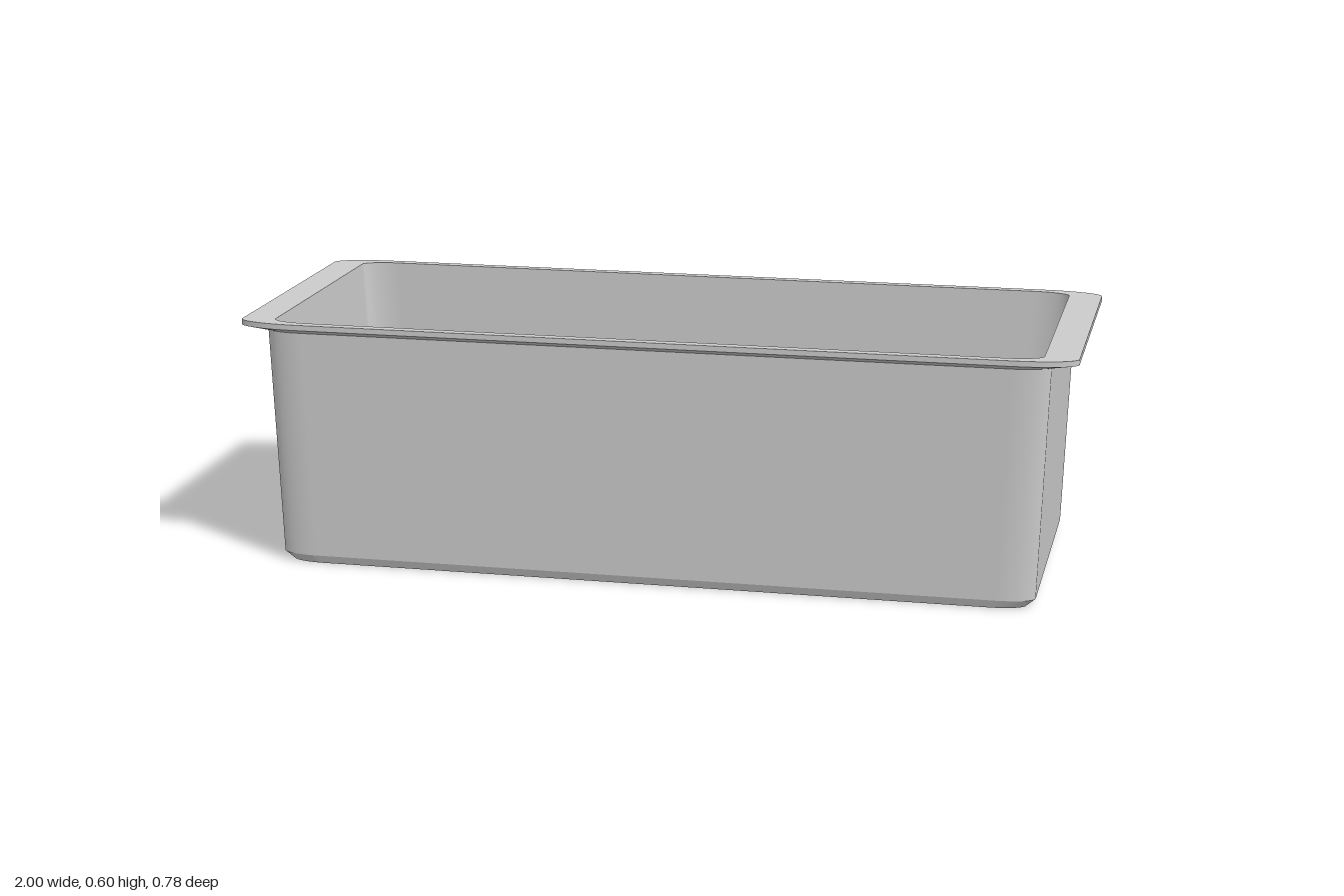
import * as THREE from 'three';

const CORNER_STEPS = 8;

// Rounded rectangle at height y: half sizes hx, hz with elliptical corners rx, rz
function ring([y, hx, hz, rx, rz]) {
  const pts = [];
  for (let q = 0; q < 4; q++) {
    const sx = q === 0 || q === 3 ? 1 : -1;
    const sz = q < 2 ? 1 : -1;
    for (let i = 0; i <= CORNER_STEPS; i++) {
      const a = (q + i / CORNER_STEPS) * Math.PI / 2;
      pts.push(sx * (hx - rx) + rx * Math.cos(a), y, sz * (hz - rz) + rz * Math.sin(a));
    }
  }
  return pts;
}

// Band of faces between two rings, smooth around the corners
function band(from, to) {
  const a = ring(from), b = ring(to), n = a.length / 3, index = [];
  for (let i = 0; i < n; i++) {
    const j = (i + 1) % n;
    index.push(i, n + i, j, j, n + i, n + j);
  }
  const g = new THREE.BufferGeometry();
  g.setAttribute('position', new THREE.Float32BufferAttribute([...a, ...b], 3));
  g.setIndex(index);
  g.computeVertexNormals();
  return g;
}

// Flat plate filling a ring, facing up or down
function plate(outline, up) {
  const pts = ring(outline), n = pts.length / 3, index = [];
  for (let i = 0; i < n; i++) {
    const j = (i + 1) % n;
    index.push(n, up ? j : i, up ? i : j);
  }
  const g = new THREE.BufferGeometry();
  g.setAttribute('position', new THREE.Float32BufferAttribute([...pts, 0, outline[0], 0], 3));
  g.setIndex(index);
  g.computeVertexNormals();
  return g;
}

export function createModel() {
  const group = new THREE.Group();
  const material = new THREE.MeshStandardMaterial({ color: 0xcccccc, side: THREE.DoubleSide });
  const add = (name, geometry) => {
    const mesh = new THREE.Mesh(geometry, material);
    mesh.name = name;
    group.add(mesh);
  };

  // Cross-sections: y, half width, half depth, corner radii in x and z
  const base = [0, 0.895, 0.352, 0.085, 0.032];
  const foot = [0.02, 0.917, 0.36, 0.09, 0.034];
  const neck = [0.576, 0.937, 0.369, 0.09, 0.036];
  const lipLow = [0.587, 1, 0.389, 0.15, 0.045];
  const lipTop = [0.6, 1, 0.389, 0.15, 0.045];
  const mouth = [0.6, 0.92, 0.364, 0.09, 0.034];
  const floor = [0.015, 0.885, 0.356, 0.085, 0.032];

  // Outside, from the bottom up
  add('underside', plate(base, false));
  add('bottomChamfer', band(base, foot));
  add('outerWall', band(foot, neck));

  // Overhanging rim
  add('rimUnderside', band(neck, lipLow));
  add('rimEdge', band(lipLow, lipTop));
  add('rimTop', band(lipTop, mouth));

  // Inside, down to the floor
  add('innerWall', band(mouth, floor));
  add('innerFloor', plate(floor, true));

  return group;
}
